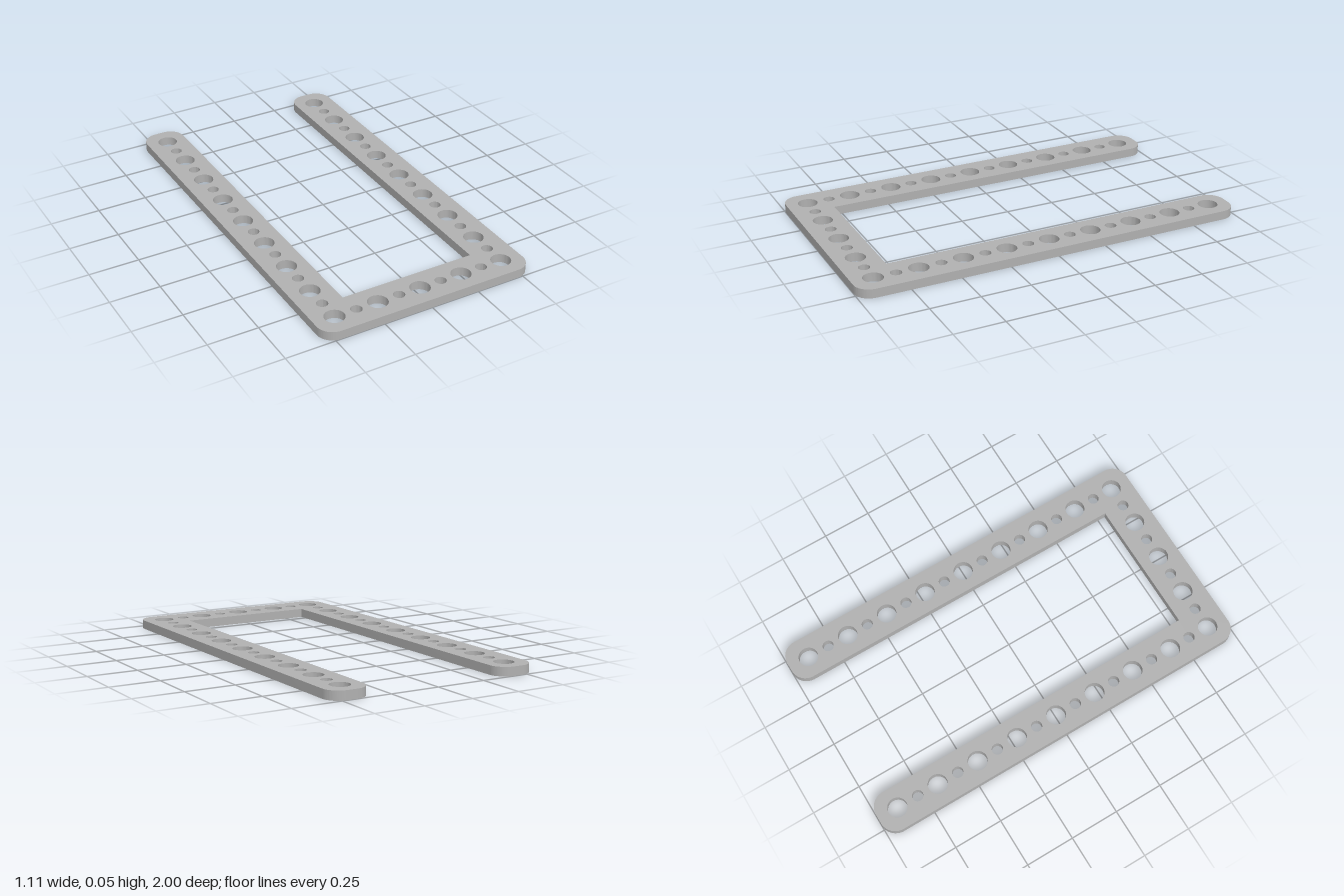
import * as THREE from 'three';
import { toCreasedNormals } from 'three/addons/utils/BufferGeometryUtils.js';

const THICKNESS = 0.045;
const PITCH = 0.2235;          // spacing of the large holes
const HALF_X = 0.553, HALF_Z = 1;
const INNER_X = 0.345, INNER_Z = 0.79;
const CORNER = 0.08;
const LARGE = 0.049, SMALL = 0.028;

// Shape coordinates: x stays x, shape y becomes z
function frameOutline() {
  const s = new THREE.Shape();
  const r = CORNER, q = Math.PI / 2;
  const corner = (x, y, start) => s.absarc(x, y, r, start, start + q, false);
  // front edge of the U, then the left arm
  s.moveTo(HALF_X, HALF_Z - r);
  corner(HALF_X - r, HALF_Z - r, 0);
  corner(-HALF_X + r, HALF_Z - r, q);
  // right arm tip
  corner(-HALF_X + r, -HALF_Z + r, 2 * q);
  corner(-INNER_X - r, -HALF_Z + r, 3 * q);
  // inside of the U, with sharp corners
  s.lineTo(-INNER_X, INNER_Z);
  s.lineTo(INNER_X, INNER_Z);
  // left arm tip
  corner(INNER_X + r, -HALF_Z + r, 2 * q);
  corner(HALF_X - r, -HALF_Z + r, 3 * q);
  s.closePath();
  return s;
}

function addHole(shape, x, z, radius) {
  const hole = new THREE.Path();
  hole.absarc(x, z, radius, 0, Math.PI * 2, true);
  shape.holes.push(hole);
}

export function createModel() {
  const group = new THREE.Group();
  group.name = 'perforatedFrame';
  const grey = new THREE.MeshStandardMaterial({ color: 0xb0b0b0 });
  grey.name = 'grey';

  const shape = frameOutline();
  // alternating large and small holes along both arms
  for (const side of [-1, 1]) {
    for (let i = -8; i <= 8; i++) {
      addHole(shape, side * 2 * PITCH, i * PITCH / 2, i % 2 === 0 ? LARGE : SMALL);
    }
  }
  // and along the crossbar between them
  for (let i = -3; i <= 3; i++) {
    addHole(shape, i * PITCH / 2, 4 * PITCH, i % 2 === 0 ? LARGE : SMALL);
  }

  const extruded = new THREE.ExtrudeGeometry(shape, {
    depth: THICKNESS, bevelEnabled: false, curveSegments: 20,
  });
  extruded.rotateX(Math.PI / 2);
  extruded.translate(0, THICKNESS, 0);

  const frame = new THREE.Mesh(toCreasedNormals(extruded, Math.PI / 5), grey);
  frame.name = 'uFrame';
  group.add(frame);
  return group;
}
